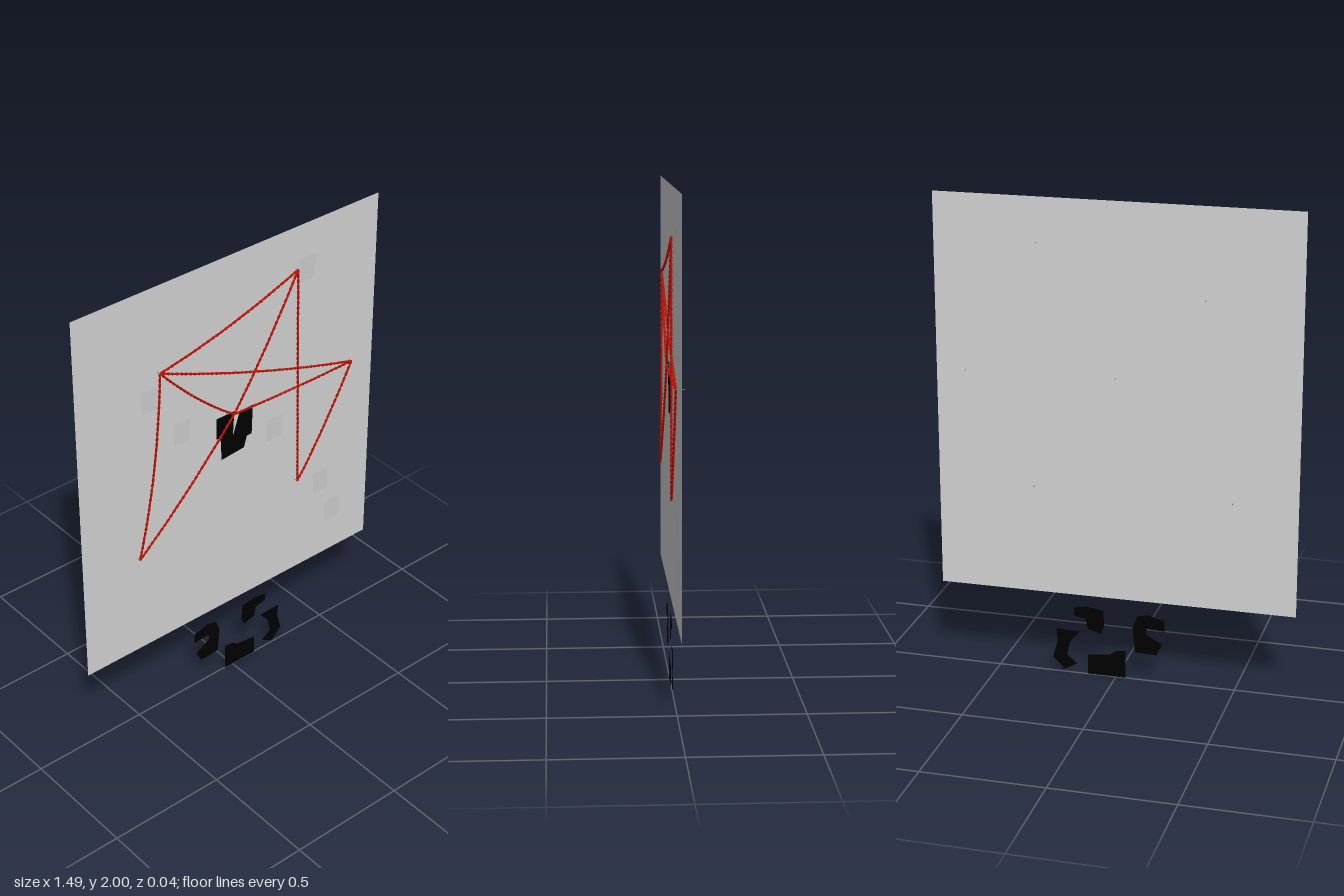
import * as THREE from 'three';

const mat = (name, color, side = THREE.FrontSide) => {
  const m = new THREE.MeshStandardMaterial({ color, side });
  m.name = name;
  return m;
};

export function createModel() {
  const grey = mat('board pale grey', 0xd5d5d5, THREE.DoubleSide);
  const faint = mat('faint note grey', 0xcfcfcf);
  const black = mat('paper black', 0x000000, THREE.DoubleSide);
  const red = mat('string red', 0xcc1100);
  const steel = mat('pin grey', 0x808080);

  const model = new THREE.Group();
  model.name = 'pinboard';
  const add = (geometry, material, name, parent = model) => {
    const mesh = new THREE.Mesh(geometry, material);
    mesh.name = name;
    parent.add(mesh);
    return mesh;
  };

  // Flat backing board
  add(new THREE.PlaneGeometry(1.49, 1.65), grey, 'board').position.set(0, 1.175, -0.002);

  // Faint notes on the board
  for (const [x, y] of [[.55, .56], [.48, .74], [.22, 1.12], [.38, 1.8], [-.4, 1.52], [-.25, 1.31]]) {
    add(new THREE.PlaneGeometry(0.08, 0.1), faint, 'faintNote').position.set(x, y, 0);
  }

  // Cut paper pieces: one on the board, four below it
  const papers = {
    centrePaper: [[-.08, 1.295], [.01, 1.295], [.003, 1.18], [.037, 1.28], [.105, 1.285], [.1, 1.15],
      [.075, 1.15], [.06, 1.1], [-.055, 1.09], [-.06, 1.195], [-.08, 1.2]],
    leftPaper: [[-.205, .27], [-.135, .29], [-.09, .28], [-.07, .23], [-.08, .12],
      [-.17, .115], [-.195, .165], [-.125, .205], [-.13, .23], [-.205, .225]],
    upperPaper: [[.055, .29], [.125, .3], [.18, .29], [.18, .255], [.13, .245],
      [.12, .2], [.065, .185], [.05, .22]],
    rightPaper: [[.155, .185], [.255, .19], [.25, .135], [.27, .06], [.22, .01],
      [.165, .04], [.21, .075], [.195, .14]],
    lowerPaper: [[-.04, .12], [0, .115], [.03, .095], [.12, .085], [.12, 0], [-.04, 0]],
  };
  for (const [name, points] of Object.entries(papers)) {
    const shape = new THREE.Shape(points.map(([x, y]) => new THREE.Vector2(x, y)));
    add(new THREE.ShapeGeometry(shape), black, name).position.z = 0.002;
  }

  // Fine pins poking out behind the board
  const pins = {
    upperA: [-.36, 1.63], upperB: [.32, 1.82], centre: [0, 1.29],
    side: [.62, 1.28], lowerA: [-.48, .81], lowerB: [.34, .81],
  };
  for (const [x, y] of Object.values(pins)) {
    const pin = add(new THREE.CylinderGeometry(0.0015, 0.0015, 0.034, 6), steel, 'pin');
    pin.rotation.x = Math.PI / 2;
    pin.position.set(x, y, -0.003);
  }

  // Sagging strings, each made of two strands twisted together
  const links = [
    ['upperA', 'upperB'], ['upperA', 'centre'], ['upperA', 'side'],
    ['upperA', 'lowerA', 0.02], ['upperB', 'centre'], ['upperB', 'lowerB'],
    ['centre', 'side', 0, 0.005], ['centre', 'lowerA'], ['side', 'lowerB'],
  ];
  for (const [from, to, shift = 0, sag = 0.02] of links) {
    const [ax, ay] = pins[from], [bx, by] = pins[to];
    const z = 0.013;
    const path = new THREE.QuadraticBezierCurve3(
      new THREE.Vector3(ax, ay, z),
      new THREE.Vector3((ax + bx) / 2 + 2 * shift, (ay + by) / 2 - 2 * sag, z),
      new THREE.Vector3(bx, by, z));
    const length = path.getLength();
    const steps = Math.ceil(length / 0.006);
    const string = new THREE.Group();
    string.name = 'string';
    model.add(string);
    for (const phase of [0, Math.PI]) {
      const points = [];
      for (let k = 0; k <= steps; k++) {
        const t = k / steps, tangent = path.getTangent(t);
        const angle = t * length / 0.045 * Math.PI * 2 + phase;
        const p = path.getPoint(t);
        p.x -= tangent.y * Math.cos(angle) * 0.0025;
        p.y += tangent.x * Math.cos(angle) * 0.0025;
        p.z += Math.sin(angle) * 0.0025;
        points.push(p);
      }
      const strand = new THREE.CatmullRomCurve3(points);
      add(new THREE.TubeGeometry(strand, steps, 0.003, 5), red, 'strand', string);
    }
  }
  return model;
}
